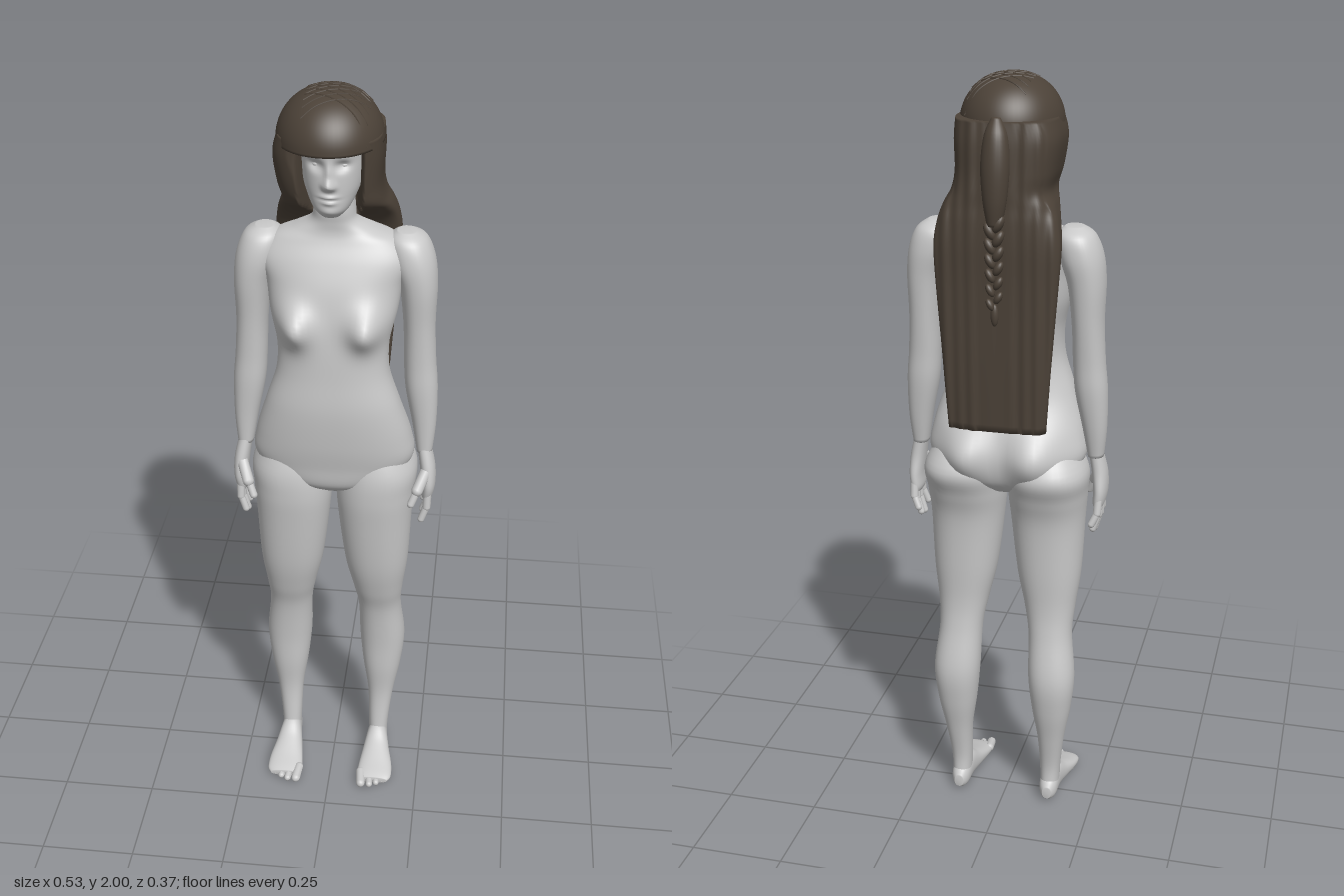
import * as THREE from 'three';

const skin = new THREE.MeshStandardMaterial({ color: 0xc9c9c9 });
skin.name = 'paleGrey';
const hair = new THREE.MeshStandardMaterial({ color: 0x4c4238 });
hair.name = 'darkBrown';

const cubic = (a, b, c, d, t) =>
  b + 0.5 * t * (c - a + t * (2 * a - 5 * b + 4 * c - d + t * (3 * (b - c) + d - a)));
const bump = (x, y, cx, cy, sx, sy) => Math.exp(-(((x - cx) / sx) ** 2) - ((y - cy) / sy) ** 2);

// Smooth closed skin through sections [y, xMin, xMax, zMin, zMax], listed top to bottom.
// power < 1 squares off the cross-section; shape(p) may move each point.
function loft(sections, { seg = 40, steps = 6, power = 0.9, shape } = {}) {
  const pos = [], index = [], last = sections.length - 1, p = new THREE.Vector3();
  const round = v => Math.sign(v) * Math.abs(v) ** power;
  const rings = last * steps + 1;
  for (let r = 0; r < rings; r++) {
    const i = Math.min(Math.floor(r / steps), last - 1), t = r / steps - i;
    const at = k => sections[Math.max(0, Math.min(last, k))];
    const [y, x0, x1, z0, z1] = sections[0].map((_, k) =>
      cubic(at(i - 1)[k], at(i)[k], at(i + 1)[k], at(i + 2)[k], t));
    for (let j = 0; j < seg; j++) {
      const a = (j / seg) * Math.PI * 2;
      p.set((x0 + x1) / 2 + round(Math.cos(a)) * (x1 - x0) / 2, y,
        (z0 + z1) / 2 + round(Math.sin(a)) * (z1 - z0) / 2);
      if (shape) shape(p);
      pos.push(p.x, p.y, p.z);
    }
  }
  for (let r = 0; r < rings - 1; r++) for (let j = 0; j < seg; j++) {
    const a = r * seg + j, b = r * seg + (j + 1) % seg;
    index.push(a, b, a + seg, b, b + seg, a + seg);
  }
  // End caps
  for (const [r, flip] of [[0, true], [rings - 1, false]]) {
    const c = [0, 0, 0], n = pos.length / 3;
    for (let j = 0; j < seg; j++) for (let k = 0; k < 3; k++) c[k] += pos[(r * seg + j) * 3 + k] / seg;
    pos.push(...c);
    for (let j = 0; j < seg; j++) {
      const a = r * seg + j, b = r * seg + (j + 1) % seg;
      index.push(...(flip ? [n, b, a] : [n, a, b]));
    }
  }
  const g = new THREE.BufferGeometry();
  g.setAttribute('position', new THREE.Float32BufferAttribute(pos, 3));
  g.setIndex(index);
  g.computeVertexNormals();
  return g;
}

// Rounded rod between two points, for fingers and toes
function rod(a, b, r) {
  const A = new THREE.Vector3(...a), B = new THREE.Vector3(...b), d = B.clone().sub(A);
  const g = new THREE.CapsuleGeometry(r, d.length(), 5, 12);
  g.applyQuaternion(new THREE.Quaternion().setFromUnitVectors(new THREE.Vector3(0, 1, 0), d.normalize()));
  return g.translate(...A.add(B).multiplyScalar(0.5).toArray());
}

const ball = (x, y, z, rx, ry, rz, tilt = 0) =>
  new THREE.SphereGeometry(1, 18, 12).scale(rx, ry, rz).rotateZ(tilt).translate(x, y, z);

function mirrored(g) {
  const m = g.clone().scale(-1, 1, 1), idx = m.index.array;
  for (let i = 0; i < idx.length; i += 3) [idx[i], idx[i + 1]] = [idx[i + 1], idx[i]];
  m.computeVertexNormals();
  return m;
}

export function createModel() {
  const model = new THREE.Group();
  model.name = 'standingFigure';
  const add = (name, g, mat = skin) => {
    const mesh = new THREE.Mesh(g, mat);
    mesh.name = name;
    model.add(mesh);
  };
  const pair = (name, g) => {
    add(name + 'Left', g);
    add(name + 'Right', mirrored(g));
  };
  const even = rows => rows.map(([y, w, z0, z1]) => [y, -w, w, z0, z1]);

  // Torso and neck, with chest and seat formed by soft bumps
  add('torso', loft(even([
    [1.78, 0.048, -0.06, 0.04], [1.71, 0.05, -0.06, 0.045], [1.675, 0.06, -0.07, 0.042],
    [1.65, 0.1, -0.08, 0.042], [1.625, 0.155, -0.09, 0.05], [1.58, 0.185, -0.098, 0.072],
    [1.52, 0.168, -0.1, 0.095], [1.45, 0.158, -0.092, 0.11], [1.37, 0.14, -0.072, 0.12],
    [1.29, 0.142, -0.056, 0.125], [1.2, 0.17, -0.065, 0.13], [1.1, 0.2, -0.095, 0.122],
    [1.03, 0.205, -0.105, 0.11], [0.97, 0.15, -0.095, 0.098], [0.935, 0.05, -0.06, 0.06],
  ]), {
    seg: 72, steps: 7, power: 0.85,
    shape: p => {
      const x = Math.abs(p.x);
      if (p.z > 0.02) p.z += 0.05 * bump(x, p.y, 0.088, 1.43, 0.042, 0.05);
      else if (p.z < -0.02) p.z -= 0.048 * bump(x, p.y, 0.09, 1.045, 0.065, 0.08)
        - 0.012 * bump(x, p.y, 0, 1.4, 0.025, 0.2);
    },
  }));

  // Legs
  pair('leg', loft([
    [1.08, 0.04, 0.17, -0.08, 0.08], [1.0, 0.012, 0.215, -0.135, 0.105], [0.93, 0.006, 0.213, -0.115, 0.108],
    [0.85, 0.012, 0.207, -0.093, 0.1], [0.7, 0.03, 0.2, -0.084, 0.08], [0.6, 0.052, 0.188, -0.08, 0.055],
    [0.52, 0.066, 0.183, -0.088, 0.03], [0.4, 0.07, 0.195, -0.11, 0.015], [0.3, 0.08, 0.186, -0.1, 0.01],
    [0.2, 0.095, 0.168, -0.078, 0.002], [0.1, 0.1, 0.156, -0.06, 0.01], [0.03, 0.102, 0.153, -0.064, 0.02],
  ]));

  // Feet, lofted from toe to heel and laid down, then toes
  pair('foot', loft([
    [0.158, 0.084, 0.168, -0.022, -0.004], [0.14, 0.08, 0.178, -0.029, -0.001], [0.1, 0.083, 0.177, -0.043, 0],
    [0.05, 0.09, 0.166, -0.064, 0], [0.0, 0.098, 0.156, -0.09, 0], [-0.05, 0.103, 0.152, -0.07, 0],
    [-0.072, 0.115, 0.14, -0.045, -0.012],
  ]).rotateX(Math.PI / 2));
  [[0.094, 0.172, 0.0125], [0.118, 0.171, 0.0095], [0.137, 0.162, 0.009], [0.154, 0.15, 0.0085], [0.169, 0.134, 0.008]]
    .forEach(([x, z, r], i) => pair('toe' + (i + 1), rod([x - 0.004, r + 0.006, z - 0.04], [x, r, z], r)));

  // Arms and hands
  pair('arm', loft([
    [1.642, 0.15, 0.195, -0.05, 0.0], [1.62, 0.13, 0.225, -0.085, 0.03], [1.57, 0.135, 0.245, -0.095, 0.045],
    [1.5, 0.158, 0.252, -0.09, 0.045], [1.4, 0.17, 0.25, -0.08, 0.035], [1.3, 0.174, 0.255, -0.07, 0.03],
    [1.22, 0.18, 0.262, -0.065, 0.03], [1.12, 0.2, 0.262, -0.05, 0.025], [1.04, 0.214, 0.255, -0.034, 0.022],
  ]));
  pair('palm', loft([
    [1.06, 0.215, 0.25, -0.033, 0.02], [1.0, 0.224, 0.264, -0.036, 0.036], [0.95, 0.23, 0.267, -0.045, 0.044],
    [0.915, 0.23, 0.262, -0.046, 0.038], [0.9, 0.235, 0.255, -0.04, 0.03],
  ]));
  [[0.028, 0.036, 0.848], [0.006, 0.004, 0.832], [-0.016, -0.026, 0.84], [-0.036, -0.05, 0.862]]
    .forEach(([z0, z1, y], i) => {
      const mid = [0.247, (0.92 + y) / 2, (z0 + z1) / 2];
      pair(`finger${i + 1}Base`, rod([0.248, 0.925, z0], mid, 0.0105));
      pair(`finger${i + 1}Tip`, rod(mid, [0.234, y, z1], 0.0092));
    });
  pair('thumbBase', rod([0.242, 0.99, 0.024], [0.222, 0.948, 0.056], 0.015));
  pair('thumbTip', rod([0.222, 0.948, 0.056], [0.207, 0.912, 0.067], 0.01));

  // Head with softly modelled face
  add('head', loft(even([
    [1.985, 0.03, -0.05, 0.05], [1.95, 0.07, -0.1, 0.11], [1.9, 0.08, -0.12, 0.125], [1.85, 0.078, -0.11, 0.121],
    [1.8, 0.072, -0.09, 0.121], [1.77, 0.063, -0.06, 0.12], [1.735, 0.045, -0.015, 0.118], [1.715, 0.025, 0.03, 0.1],
  ]), {
    seg: 96, steps: 10,
    shape: p => {
      if (p.z < 0.03) return;
      const x = Math.abs(p.x), y = p.y;
      p.z += 0.02 * bump(x, y, 0, 1.803, 0.011, 0.013) + 0.01 * bump(x, y, 0, 1.83, 0.009, 0.025)
        + 0.006 * bump(x, y, 0.011, 1.798, 0.007, 0.008) - 0.014 * bump(x, y, 0.031, 1.845, 0.017, 0.012)
        + 0.007 * bump(x, y, 0, 1.772, 0.018, 0.006) + 0.007 * bump(x, y, 0, 1.759, 0.016, 0.006)
        - 0.004 * bump(x, y, 0, 1.766, 0.02, 0.003) + 0.004 * bump(x, y, 0, 1.735, 0.018, 0.012);
    },
  }));
  pair('eye', ball(0.031, 1.844, 0.09, 0.013, 0.008, 0.012));

  // Crown of hair with fringe
  const C = [-0.009, 1.878, 0.008], R = [0.127, 0.118, 0.147];
  const crown = [];
  for (let i = 0; i <= 9; i++) {
    const a = 0.06 + (i / 9) * (Math.PI / 2 - 0.06), s = Math.sin(a) ** 0.9;
    crown.push([C[1] + R[1] * Math.cos(a), C[0] - R[0] * s, C[0] + R[0] * s, C[2] - R[2] * s, C[2] + R[2] * s]);
  }
  add('hairCrown', loft(crown, { seg: 64, steps: 3, power: 1 }), hair);

  // Criss-cross strands over the crown
  const onCrown = (x, z) => {
    const q = Math.min(1, Math.hypot((x - C[0]) / R[0], (z - C[2]) / R[2]));
    return new THREE.Vector3(x, C[1] + R[1] * Math.sqrt(1 - q ** 2.22), z);
  };
  for (let k = 0; k < 6; k++) for (const s of [-1, 1]) {
    const z = -0.05 + k * 0.024, pts = [];
    for (let t = -3; t <= 3; t++) pts.push(onCrown(0.01 + t * 0.025, z + s * t * 0.012));
    add('crownStrand', new THREE.TubeGeometry(new THREE.CatmullRomCurve3(pts), 18, 0.0022, 5), hair);
  }

  // Long hair: open around the face, falling to a flat sheet behind the back
  add('longHair', loft([
    [1.9, -0.13, 0.115, -0.138, 0.12], [1.85, -0.143, 0.118, -0.145, 0.115], [1.78, -0.135, 0.115, -0.148, 0.105],
    [1.735, -0.125, 0.122, -0.15, 0.085], [1.7, -0.138, 0.138, -0.15, 0.02], [1.66, -0.15, 0.15, -0.152, -0.035],
    [1.6, -0.157, 0.157, -0.152, -0.07], [1.5, -0.152, 0.152, -0.148, -0.09], [1.3, -0.137, 0.137, -0.145, -0.096],
    [1.13, -0.125, 0.125, -0.14, -0.09],
  ], {
    seg: 120, steps: 6, power: 0.6,
    shape: p => {
      const edge = THREE.MathUtils.smoothstep(Math.abs(p.x), 0.052, 0.08);
      if (p.y > 1.69) p.z = Math.min(p.z, -0.01 + 0.115 * edge);
      if (p.z < -0.12) p.z += 0.002 * Math.sin(p.x * 190) + 0.0015 * Math.sin(p.x * 83);
    },
  }), hair);

  // Gathered tail and plait at the back
  add('gatheredTail', loft([
    [1.91, -0.015, 0.008, -0.142, -0.115], [1.87, -0.034, 0.024, -0.168, -0.11], [1.8, -0.04, 0.03, -0.182, -0.12],
    [1.72, -0.034, 0.024, -0.183, -0.13], [1.66, -0.022, 0.014, -0.175, -0.135],
  ], { seg: 24, power: 1 }), hair);
  for (let i = 0; i < 12; i++) {
    const s = i % 2 ? 1 : -1, w = 1 - i * 0.03;
    add('plaitLobe', ball(-0.004 + s * 0.01, 1.665 - i * 0.018, -0.16, 0.013 * w, 0.024 * w, 0.016 * w, -s * 0.5), hair);
  }
  add('plaitEnd', ball(-0.004, 1.44, -0.156, 0.01, 0.028, 0.01), hair);
  return model;
}
